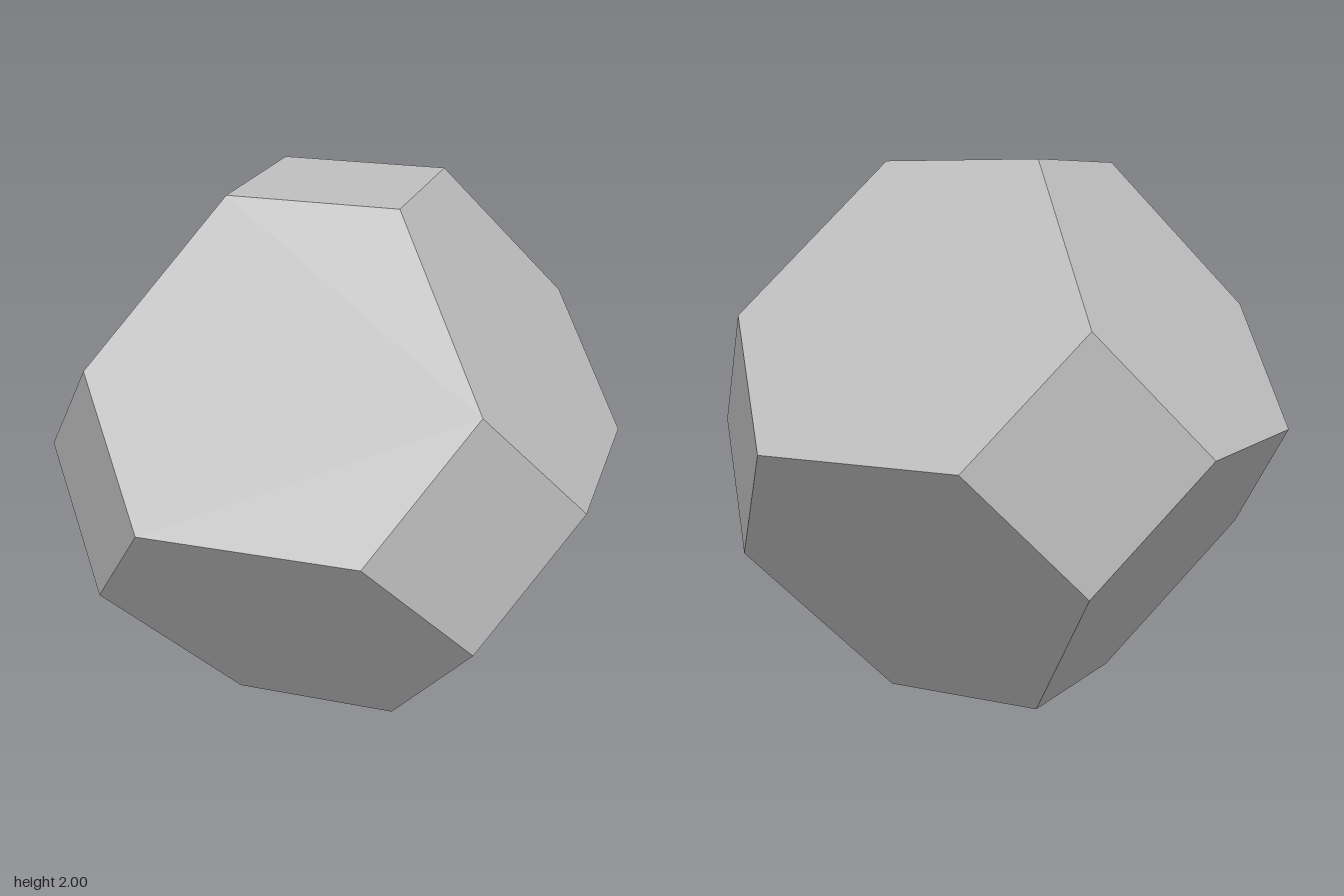
import * as THREE from 'three';
import { ConvexGeometry } from 'three/addons/geometries/ConvexGeometry.js';

// Octahedron with its six tips cut off: 6 squares and 8 hexagons.
const CUT = 0.443; // half diagonal of each square face

export function createModel() {
  const grey = new THREE.MeshStandardMaterial({ color: 0xbfbfbf });
  grey.name = 'grey';

  // Four corners of a square around each end of the three axes
  const corners = [];
  for (let axis = 0; axis < 3; axis++) {
    for (const end of [-1, 1]) {
      for (const other of [(axis + 1) % 3, (axis + 2) % 3]) {
        for (const side of [-CUT, CUT]) {
          corners.push(new THREE.Vector3().setComponent(axis, end).setComponent(other, side));
        }
      }
    }
  }

  const solid = new THREE.Mesh(new ConvexGeometry(corners), grey);
  solid.name = 'truncatedOctahedron';
  solid.position.y = 1;

  const group = new THREE.Group();
  group.name = 'polyhedron';
  group.add(solid);
  return group;
}
